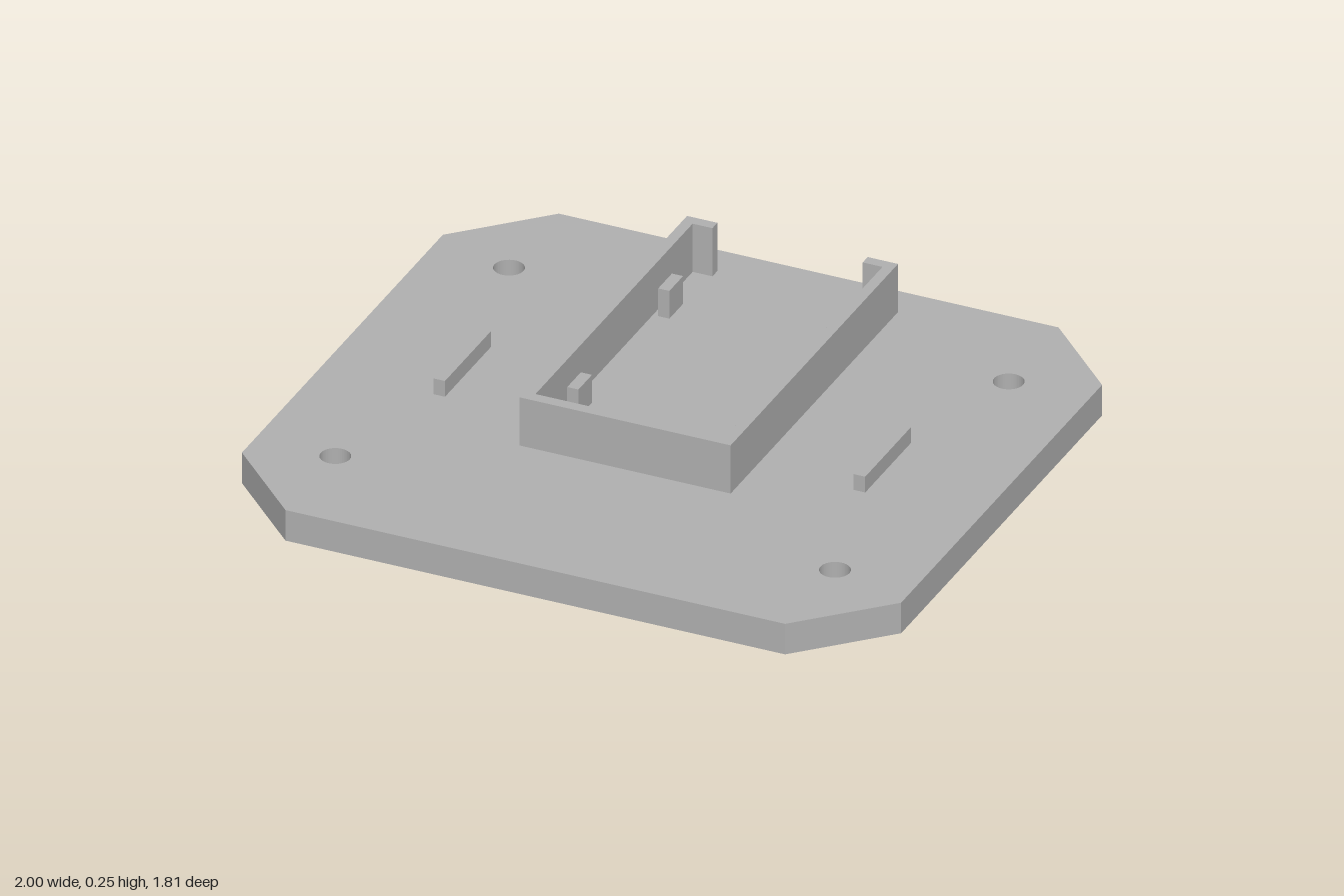
import * as THREE from 'three';

const PLATE_TOP = 0.097, BORE_DEPTH = 0.05;

// Extrude an outline drawn in x, z between two heights
function slab(points, holes, y0, y1) {
  const shape = new THREE.Shape(points.map(([x, z]) => new THREE.Vector2(x, z)));
  for (const [x, z, r] of holes) {
    shape.holes.push(new THREE.Path().absarc(x, z, r, 0, Math.PI * 2, true));
  }
  const geo = new THREE.ExtrudeGeometry(shape, { depth: y1 - y0, bevelEnabled: false, curveSegments: 24 });
  return geo.rotateX(Math.PI / 2).translate(0, y1, 0);
}

export function createModel() {
  const group = new THREE.Group();
  const grey = new THREE.MeshStandardMaterial({ color: 0xb0b0b0 });
  grey.name = 'grey';

  const add = (name, geo) => {
    const mesh = new THREE.Mesh(geo, grey);
    mesh.name = name;
    group.add(mesh);
  };
  const block = (name, x0, x1, z0, z1, top) => {
    const geo = new THREE.BoxGeometry(x1 - x0, top - PLATE_TOP, z1 - z0);
    add(name, geo.translate((x0 + x1) / 2, (top + PLATE_TOP) / 2, (z0 + z1) / 2));
  };

  // Base plate with cut corners; screw holes widen on the underside
  const outline = [
    [1, -0.665], [1, 0.665], [0.758, 0.905], [-0.758, 0.905],
    [-1, 0.665], [-1, -0.665], [-0.758, -0.905], [0.758, -0.905],
  ];
  const holes = (r) => [[1, 1], [1, -1], [-1, 1], [-1, -1]].map(([a, b]) => [a * 0.758, b * 0.575, r]);
  add('plateLower', slab(outline, holes(0.07), 0, BORE_DEPTH));
  add('plateUpper', slab(outline, holes(0.044), BORE_DEPTH, PLATE_TOP));

  // Tray wall, open at the back between two inward lips
  const half = [
    [0.288, 0.275], [0.288, -0.765], [0.228, -0.765], [0.228, -0.798], [0.32, -0.798], [0.32, 0.31],
  ];
  const mirrored = half.map(([x, z]) => [-x, z]).reverse();
  add('trayWall', slab([...half, ...mirrored], [], PLATE_TOP, 0.25));

  for (const s of [-1, 1]) {
    const side = s > 0 ? 'left' : 'right';
    const span = (a, b) => (s > 0 ? [a, b] : [-b, -a]);
    // Low side rib
    block(side + 'Rib', ...span(0.62, 0.655), -0.153, 0.15, 0.147);
    // Small posts inside the tray
    block(side + 'BackPost', ...span(0.238, 0.272), -0.593, -0.502, 0.185);
    block(side + 'FrontPost', ...span(0.238, 0.272), 0.01, 0.1, 0.185);
  }
  return group;
}
